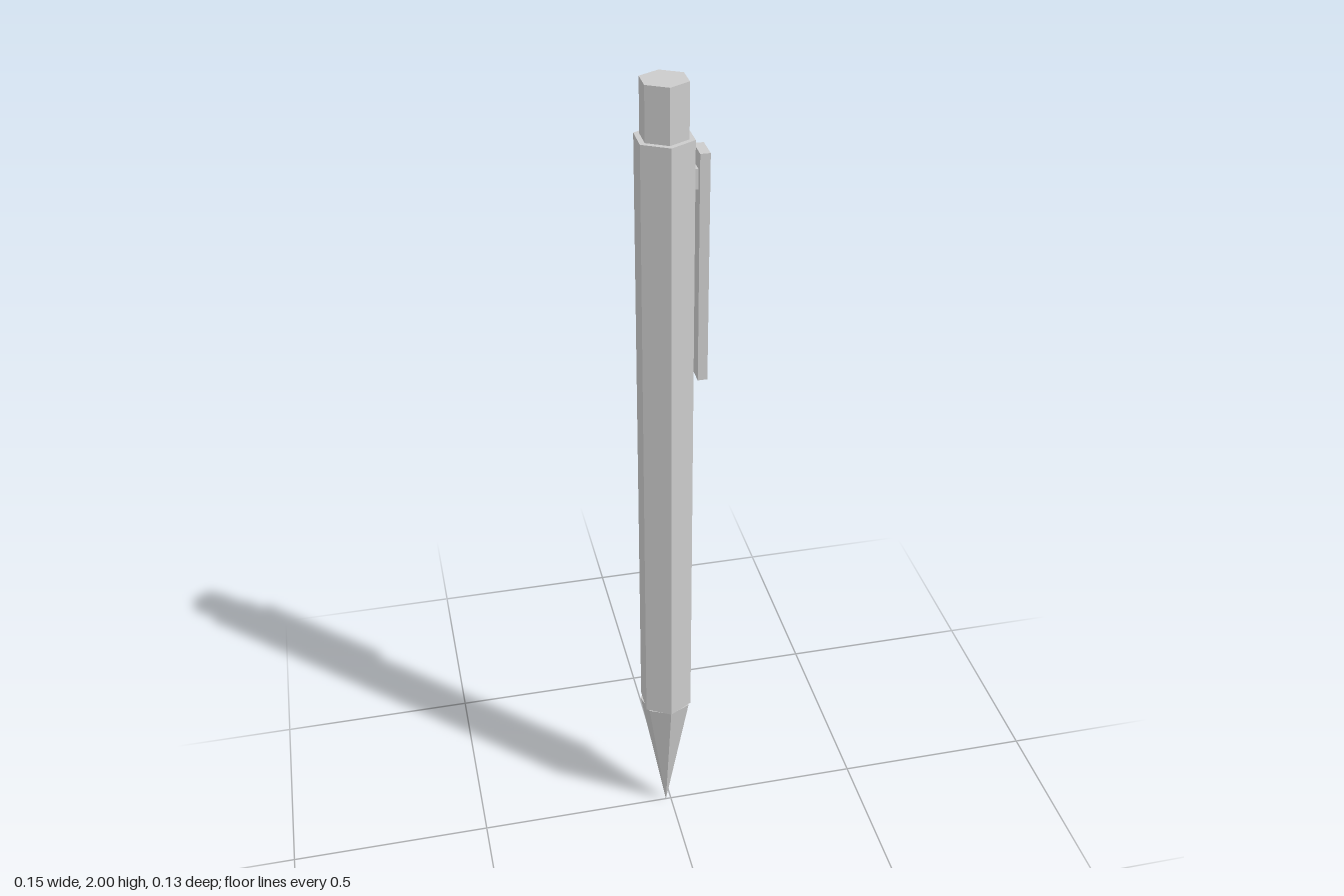
import * as THREE from 'three';

const AXIS_X = -0.0135; // the barrel sits off-centre to balance the clip

export function createModel() {
  const group = new THREE.Group();
  const material = new THREE.MeshStandardMaterial({ color: 0xcccccc, flatShading: true });

  function add(name, geometry, x, y) {
    const mesh = new THREE.Mesh(geometry, material);
    mesh.name = name;
    mesh.position.set(x, y, 0);
    group.add(mesh);
  }

  // Upright faceted piece between two heights, with a corner facing +z
  function prism(name, topRadius, bottomRadius, sides, y0, y1) {
    add(name, new THREE.CylinderGeometry(topRadius, bottomRadius, y1 - y0, sides), AXIS_X, (y0 + y1) / 2);
  }

  // Block given by its x and y ranges, centred on z
  function block(name, x0, x1, y0, y1, depth) {
    add(name, new THREE.BoxGeometry(x1 - x0, y1 - y0, depth), (x0 + x1) / 2, (y0 + y1) / 2);
  }

  // Hexagonal barrel and push button
  prism('barrel', 0.0665, 0.0665, 6, 0.365, 1.88);
  prism('pushButton', 0.0535, 0.0535, 6, 1.88, 2);

  // Seven-sided writing tip, pointing down
  prism('tip', 0.065, 0, 7, 0, 0.365);

  // Pocket clip on its short mount
  block('clipMount', 0.04, 0.056, 1.765, 1.81, 0.032);
  block('clip', 0.0545, 0.0765, 1.317, 1.848, 0.06);

  return group;
}
